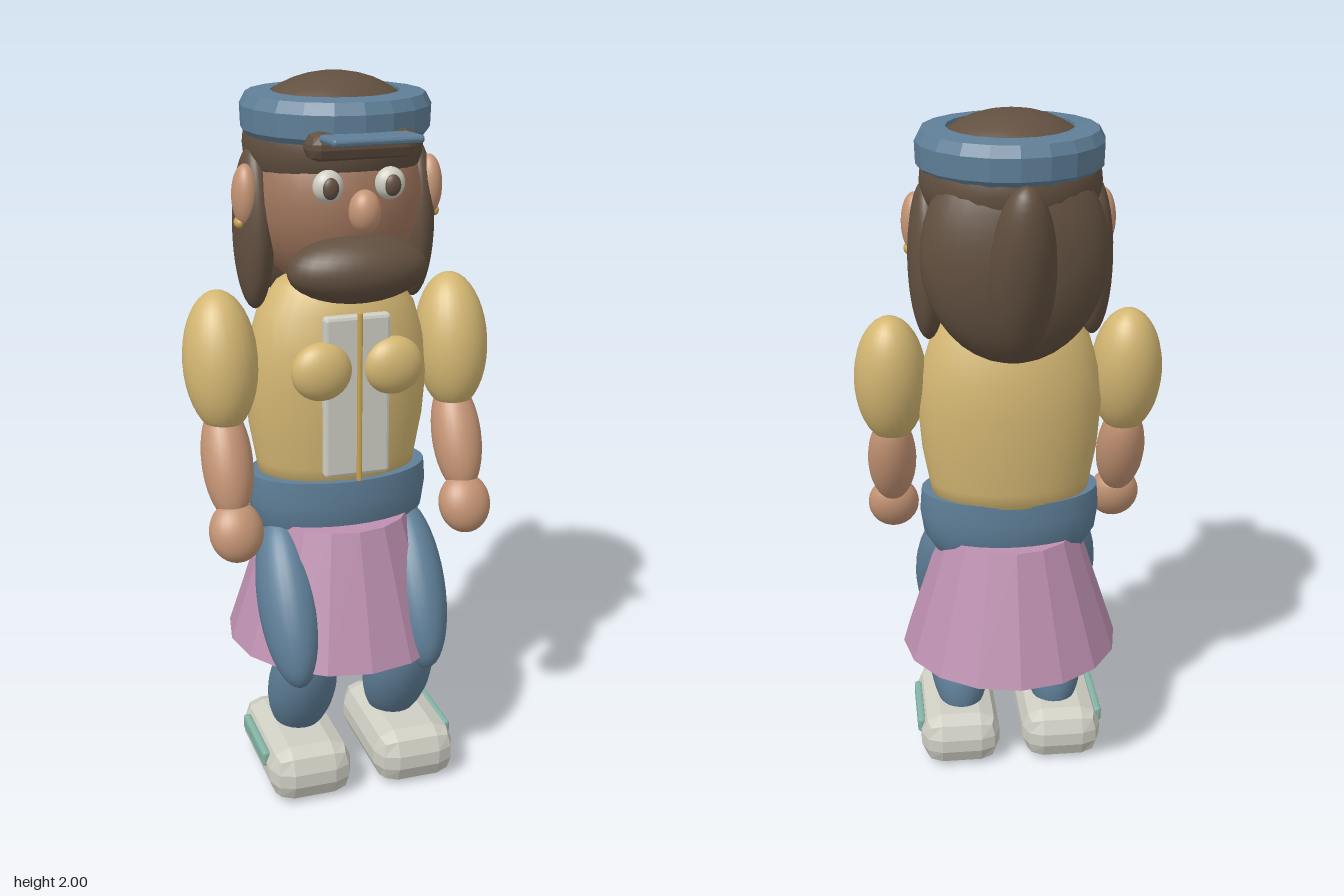
import * as THREE from 'three';
import { RoundedBoxGeometry } from 'three/addons/geometries/RoundedBoxGeometry.js';

export function createModel() {
  const model = new THREE.Group();
  model.name = 'cappedFigure';

  const material = (name, color) => {
    const m = new THREE.MeshStandardMaterial({ color });
    m.name = name;
    return m;
  };
  const skin = material('skin', 0xc49474);
  const face = material('face', 0xa0765d);
  const hair = material('hair', 0x625040);
  const shirt = material('shirt', 0xd3b672);
  const denim = material('denim', 0x5f7f98);
  const pink = material('skirtPink', 0xbd90b0);
  const pale = material('paleGrey', 0xcecec3);
  const teal = material('teal', 0x83b3a6);
  const gold = material('gold', 0xc9a552);

  const add = (name, geometry, mat, [x, y, z], tilt = 0) => {
    const mesh = new THREE.Mesh(geometry, mat);
    mesh.name = name;
    mesh.position.set(x, y, z);
    mesh.rotation.x = tilt;
    model.add(mesh);
    return mesh;
  };
  const flat = (geometry) => {
    const g = geometry.index ? geometry.toNonIndexed() : geometry;
    g.computeVertexNormals();
    return g;
  };
  // Ellipsoid with the given radii, tilted about x
  const blob = (name, mat, position, [rx, ry, rz], tilt = 0) =>
    add(name, new THREE.SphereGeometry(1, 28, 20).scale(rx, ry, rz), mat, position, tilt);
  // Box with chamfered edges
  const block = (name, mat, position, [w, h, d], bevel, tilt = 0) =>
    add(name, flat(new RoundedBoxGeometry(w, h, d, 1, bevel)), mat, position, tilt);
  // Turned profile, squashed in depth; points run upwards
  const turned = (points, segments, depth = 1) =>
    new THREE.LatheGeometry(points.map(([r, y]) => new THREE.Vector2(r, y)), segments).scale(1, 1, depth);

  // Torso and hips
  add('torso', turned([[0, 0.88], [0.22, 0.88], [0.232, 0.95], [0.25, 1.05], [0.26, 1.18],
    [0.25, 1.28], [0.22, 1.38], [0.17, 1.45], [0.1, 1.49], [0, 1.5]], 32, 0.64), shirt, [0, 0, 0.04]);
  add('hips', turned([[0, 0.62], [0.12, 0.65], [0.2, 0.7], [0.25, 0.78], [0.26, 0.85],
    [0.255, 0.915]], 32, 0.6), denim, [0, 0, 0.05]);
  add('hipsTop', new THREE.CircleGeometry(0.255, 32).rotateX(-Math.PI / 2).scale(1, 1, 0.6),
    denim, [0, 0.915, 0.05]);

  // Skirt
  add('skirt', flat(new THREE.CylinderGeometry(0.2, 0.32, 0.375, 16)), pink, [0, 0.597, 0.057]);

  // Shirt front with zip
  block('shirtPanel', pale, [0, 1.17, 0.217], [0.185, 0.45, 0.035], 0.01);
  block('zip', gold, [0, 1.172, 0.248], [0.012, 0.475, 0.016], 0.004);

  // Head, nose, beard, brow
  blob('head', face, [0, 1.68, 0.015], [0.238, 0.26, 0.225]);
  blob('nose', skin, [0, 1.68, 0.278], [0.042, 0.056, 0.04]);
  blob('beard', hair, [0, 1.52, 0.222], [0.19, 0.09, 0.104]);
  block('brow', hair, [0, 1.845, 0.238], [0.29, 0.075, 0.09], 0.03);

  // Hair dome, back hair, ponytail
  blob('hairDome', hair, [0, 1.82, 0.012], [0.243, 0.18, 0.222]);
  blob('backHair', hair, [0, 1.64, -0.085], [0.25, 0.3, 0.138]);
  blob('ponytail', hair, [0, 1.64, -0.275], [0.085, 0.25, 0.082], -0.29);

  // Cap band and brim
  add('capBand', flat(turned([[0.17, 1.85], [0.238, 1.845], [0.25, 1.86], [0.252, 1.92],
    [0.236, 1.95], [0.17, 1.955], [0.17, 1.85]], 20)), denim, [0, 0, 0.03]);
  block('capBrim', denim, [0, 1.868, 0.3], [0.238, 0.02, 0.17], 0.008, -0.06);

  for (const [side, s] of [['left', 1], ['right', -1]]) {
    // Face and hair sides
    blob(side + 'Eye', pale, [s * 0.083, 1.74, 0.232], [0.04, 0.042, 0.03]);
    blob(side + 'Pupil', hair, [s * 0.083, 1.738, 0.254], [0.022, 0.028, 0.014]);
    blob(side + 'Ear', skin, [s * 0.255, 1.695, 0.06], [0.036, 0.083, 0.046]);
    blob(side + 'Earring', gold, [s * 0.272, 1.625, 0.058], [0.014, 0.016, 0.022]);
    blob(side + 'HairLock', hair, [s * 0.225, 1.6, 0.022], [0.053, 0.22, 0.095]);

    // Chest and arms
    blob(side + 'Chest', shirt, [s * 0.1, 1.25, 0.228], [0.083, 0.08, 0.05]);
    blob(side + 'UpperArm', shirt, [s * 0.333, 1.25, 0.06], [0.102, 0.194, 0.108], -0.18);
    blob(side + 'Forearm', skin, [s * 0.335, 0.985, 0.118], [0.07, 0.165, 0.073], -0.42);
    blob(side + 'Hand', skin, [s * 0.333, 0.808, 0.197], [0.075, 0.085, 0.06], -0.4);

    // Legs
    blob(side + 'Thigh', denim, [s * 0.187, 0.575, 0.19], [0.086, 0.245, 0.105], -0.52);
    blob(side + 'Shin', denim, [s * 0.145, 0.3, 0.178], [0.096, 0.215, 0.1], 0.5);

    // Shoes
    block(side + 'Shoe', pale, [s * 0.156, 0.084, 0.15], [0.24, 0.16, 0.4], 0.06);
    block(side + 'ShoeStripe', teal, [s * 0.274, 0.114, 0.143], [0.024, 0.046, 0.225], 0.008);
  }
  return model;
}
